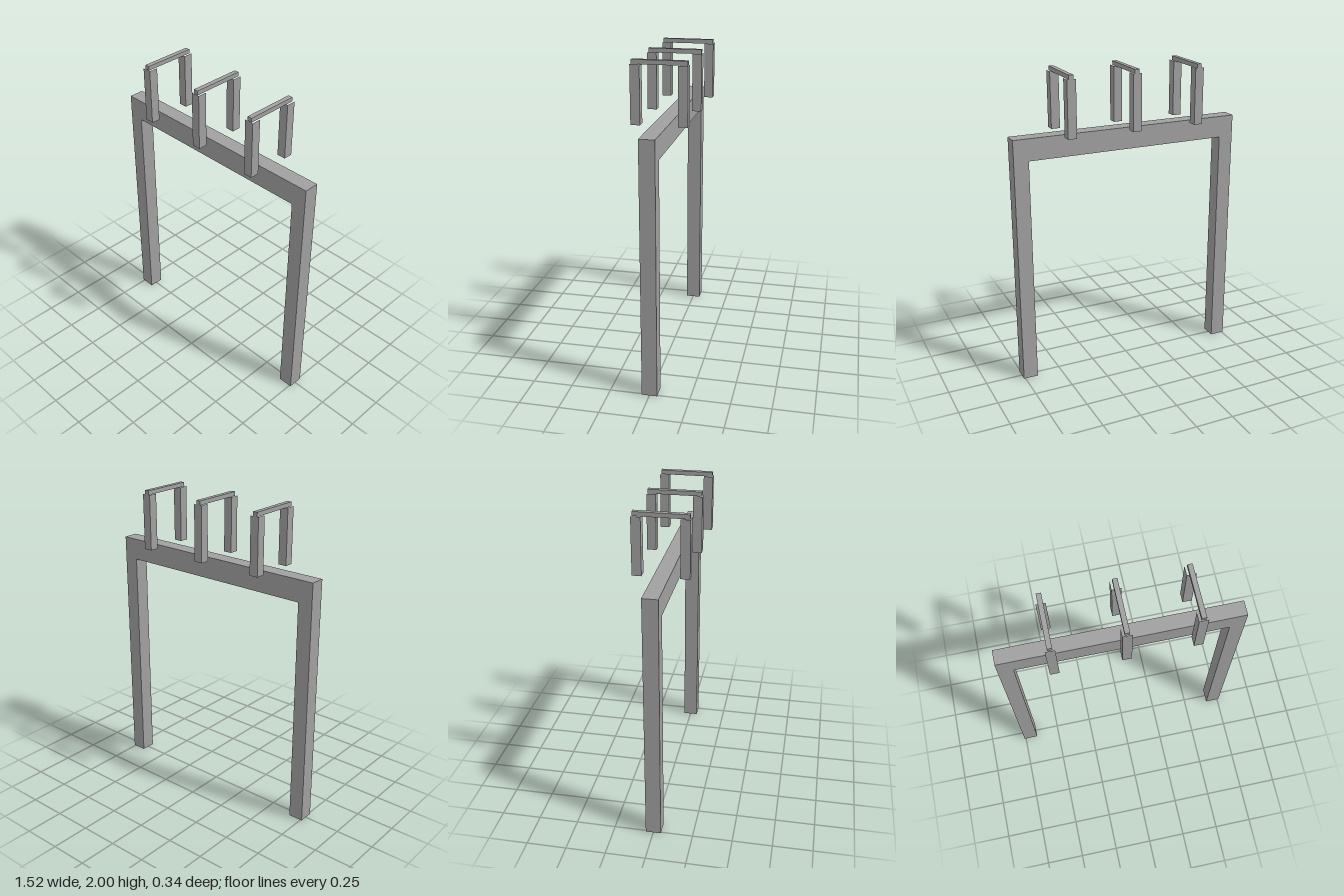
import * as THREE from 'three';

// Removes the flat horizontal faces lying at the given heights, leaving an open shell.
function openAt(source, heights) {
  const geometry = source.index ? source.toNonIndexed() : source;
  const p = geometry.attributes.position;
  const kept = [];
  for (let i = 0; i < p.count; i += 3) {
    const flat = heights.some((h) => [0, 1, 2].every((k) => Math.abs(p.getY(i + k) - h) < 1e-4));
    if (flat) continue;
    for (let k = 0; k < 3; k++) kept.push(p.getX(i + k), p.getY(i + k), p.getZ(i + k));
  }
  const open = new THREE.BufferGeometry();
  open.setAttribute('position', new THREE.Float32BufferAttribute(kept, 3));
  open.computeVertexNormals();
  return open;
}

export function createModel() {
  const model = new THREE.Group();
  const grey = new THREE.MeshStandardMaterial({ color: 0xa0a0a0 });
  grey.name = 'grey';

  const add = (parent, name, geometry, x = 0, y = 0, z = 0) => {
    const mesh = new THREE.Mesh(geometry, grey);
    mesh.name = name;
    mesh.position.set(x, y, z);
    parent.add(mesh);
  };

  // Two legs and crossbeam in one piece, legs open underneath
  const outer = 0.76, inner = 0.664, top = 1.617, under = 1.477, depth = 0.096;
  const outline = new THREE.Shape([
    [-outer, 0], [-inner, 0], [-inner, under], [inner, under],
    [inner, 0], [outer, 0], [outer, top], [-outer, top],
  ].map(([x, y]) => new THREE.Vector2(x, y)));
  const frame = new THREE.ExtrudeGeometry(outline, { depth, bevelEnabled: false });
  add(model, 'frame', openAt(frame, [0]), 0, 0, -depth / 2);

  // Three hangers: a thin bar across the beam with an open-ended post at each end
  const postHeight = 1.975 - top;
  const postGeometry = openAt(
    new THREE.BoxGeometry(0.057, postHeight, 0.058), [-postHeight / 2, postHeight / 2]);
  const barGeometry = new THREE.BoxGeometry(0.03, 0.027, 0.334);
  for (const x of [-0.427, 0, 0.427]) {
    const hanger = new THREE.Group();
    hanger.name = 'hanger';
    hanger.position.x = x;
    add(hanger, 'hangerBar', barGeometry, 0, 1.9865);
    for (const side of [-1, 1]) {
      add(hanger, 'hangerPost', postGeometry, 0, top + postHeight / 2, side * 0.143);
    }
    model.add(hanger);
  }

  return model;
}
